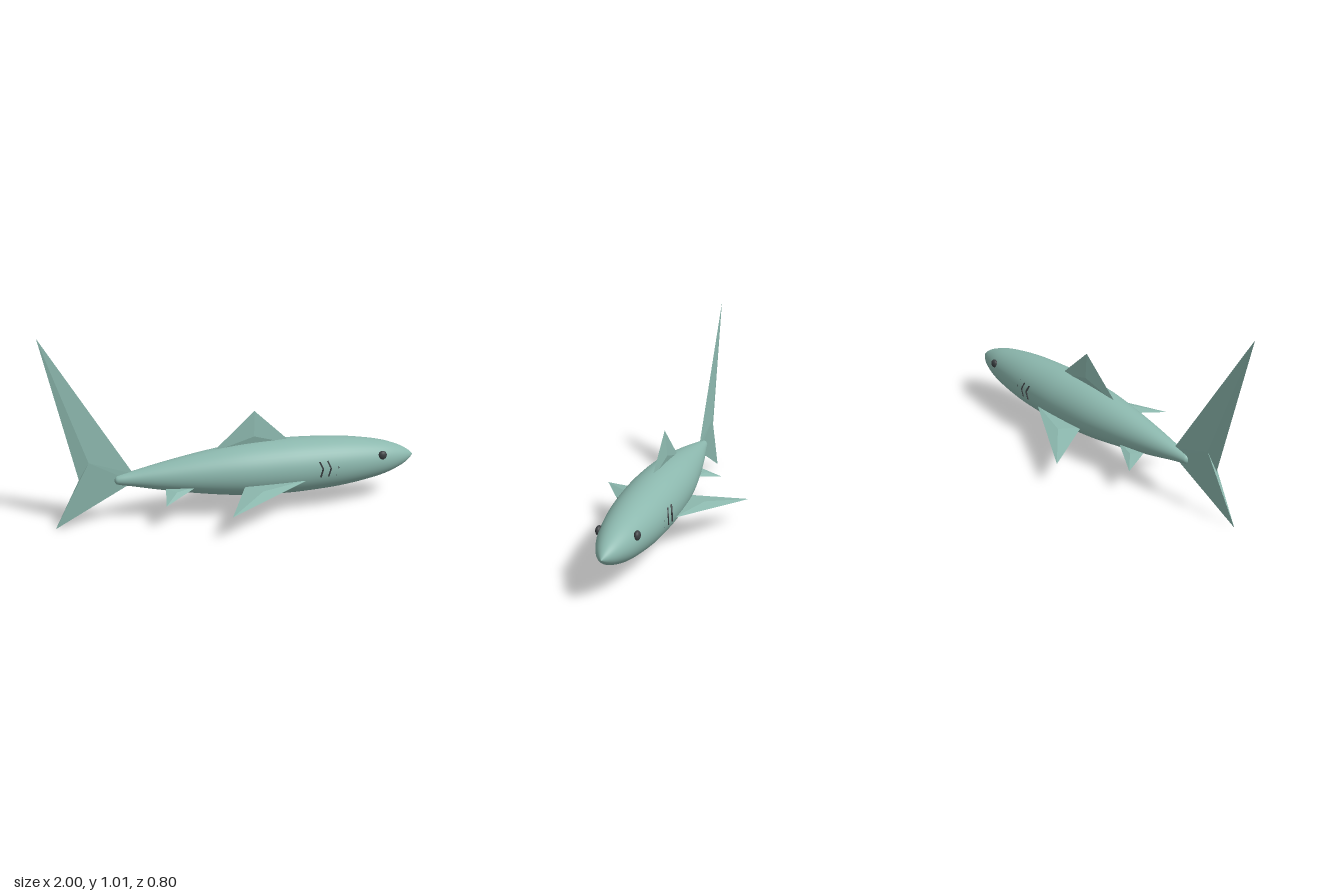
import * as THREE from 'three';

const skin = new THREE.MeshStandardMaterial({ color: 0x8cb8ae });
skin.name = 'sea green skin';
const dark = new THREE.MeshStandardMaterial({ color: 0x3c4043 });
dark.name = 'dark grey';

const AXIS_Y = 0.243;

// Faceted fin: a flat outline with a raised point in the middle of each face
function fin(name, outline, halfThickness) {
  const pts = outline.map(p => new THREE.Vector3(...p));
  const centre = new THREE.Vector3();
  pts.forEach(p => centre.addScaledVector(p, 1 / pts.length));
  const normal = new THREE.Vector3();
  pts.forEach((p, i) => {
    const a = p.clone().sub(centre);
    normal.add(a.cross(pts[(i + 1) % pts.length].clone().sub(centre)));
  });
  normal.normalize();
  const tris = [];
  const front = centre.clone().addScaledVector(normal, halfThickness);
  const back = centre.clone().addScaledVector(normal, -halfThickness);
  pts.forEach((p, i) => {
    const q = pts[(i + 1) % pts.length];
    tris.push(front, p, q, back, q, p);
  });
  const geometry = new THREE.BufferGeometry().setFromPoints(tris);
  geometry.computeVertexNormals();
  const mesh = new THREE.Mesh(geometry, skin);
  mesh.name = name;
  return mesh;
}

function createBody() {
  // Profile as (radius, position along the body), tail to nose
  const profile = new THREE.SplineCurve([
    [0, -0.65], [0.018, -0.643], [0.027, -0.62], [0.041, -0.55], [0.073, -0.4],
    [0.109, -0.2], [0.136, 0], [0.147, 0.2], [0.147, 0.36], [0.134, 0.58],
    [0.101, 0.79], [0.062, 0.91], [0.028, 0.97], [0, 1]
  ].map(p => new THREE.Vector2(...p))).getPoints(70);
  profile.forEach(p => { p.x = Math.max(p.x, 0); });
  const geometry = new THREE.LatheGeometry(profile, 48);
  geometry.rotateZ(-Math.PI / 2);
  const body = new THREE.Mesh(geometry, skin);
  body.name = 'body';
  body.position.y = AXIS_Y;
  return body;
}

// Chevron gill slit lying on the flank
function gill(x, side) {
  const r = 0.148 - 0.16 * Math.max(0, x - 0.43);
  const at = (dx, y) => new THREE.Vector3(x + dx, y, side * Math.sqrt(r * r - (y - AXIS_Y) ** 2));
  const path = new THREE.CurvePath();
  const points = [at(0, 0.297), at(0.018, 0.257), at(0.006, 0.212)];
  path.add(new THREE.LineCurve3(points[0], points[1]));
  path.add(new THREE.LineCurve3(points[1], points[2]));
  const mesh = new THREE.Mesh(new THREE.TubeGeometry(path, 12, 0.0045, 6), dark);
  mesh.name = 'gillSlit';
  return mesh;
}

export function createModel() {
  const model = new THREE.Group();
  model.name = 'shark';
  model.add(createBody());

  // Upright fins
  model.add(fin('tailFin', [
    [-1, 1.01, 0], [-0.83, 0.26, 0], [-0.96, 0.003, 0], [-0.55, 0.225, 0], [-0.55, 0.27, 0]
  ], 0.013));
  model.add(fin('dorsalFin', [[0.095, 0.56, 0], [-0.13, 0.35, 0], [0.31, 0.36, 0]], 0.013));

  // Paired parts
  for (const side of [1, -1]) {
    const sideName = side > 0 ? 'front' : 'back';
    model.add(fin(sideName + 'PectoralFin', [
      [0.36, 0.2, side * 0.13], [-0.12, 0.148, side * 0.4], [0.02, 0.19, side * 0.11]
    ], 0.013));
    model.add(fin(sideName + 'PelvicFin', [
      [-0.22, 0.2, side * 0.07], [-0.41, 0.142, side * 0.172], [-0.39, 0.19, side * 0.05]
    ], 0.008));

    const eye = new THREE.Mesh(new THREE.SphereGeometry(0.024, 20, 14), dark);
    eye.name = sideName + 'Eye';
    eye.scale.z = 0.65;
    eye.position.set(0.785, 0.285, side * 0.094);
    model.add(eye);

    for (let i = 0; i < 4; i++) model.add(gill(0.415 + i * 0.045, side));
  }
  return model;
}
